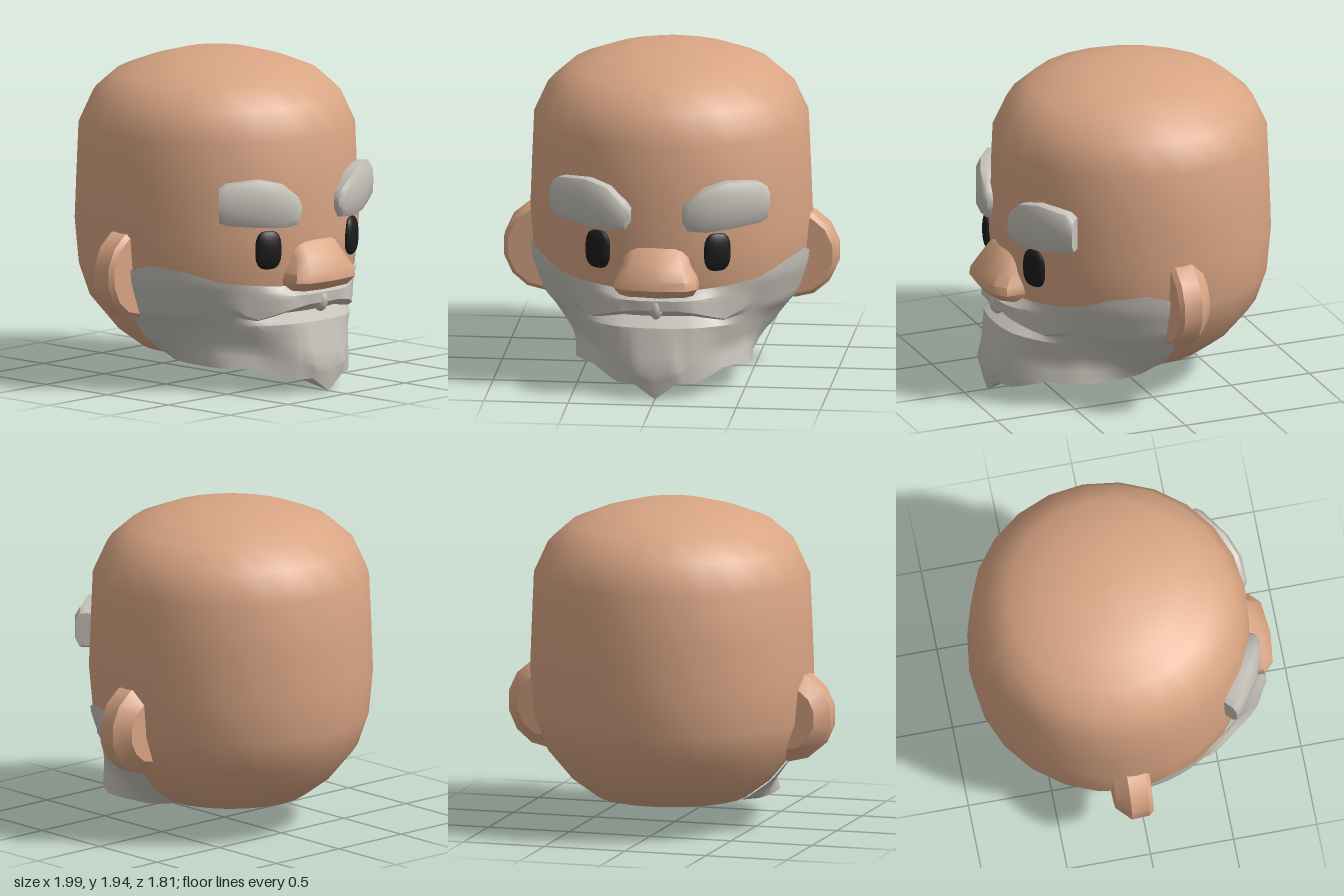
import * as THREE from 'three';
import { toCreasedNormals } from 'three/addons/utils/BufferGeometryUtils.js';

const CENTER_Z = -0.06;
const { lerp, degToRad } = THREE.MathUtils;

// Head outline as [radius, height], bottom to top
const PROFILE = [
  [0, 0.155], [0.3, 0.16], [0.45, 0.18], [0.6, 0.29], [0.75, 0.47], [0.815, 0.66], [0.84, 0.93],
  [0.83, 1.2], [0.817, 1.51], [0.735, 1.69], [0.6, 1.81], [0.42, 1.88], [0.22, 1.933], [0, 1.94],
];

function headRadius(y) {
  const h = Math.max(y, 0.18);
  let i = 2;
  while (PROFILE[i + 1][1] < h) i++;
  const [r0, y0] = PROFILE[i], [r1, y1] = PROFILE[i + 1];
  return lerp(r0, r1, (h - y0) / (y1 - y0));
}

// Point around the head: angle in degrees from the front, towards +x
function around(deg, y, r) {
  const a = degToRad(deg);
  return new THREE.Vector3(r * Math.sin(a), y, CENTER_Z + r * Math.cos(a));
}

function toGeometry(points, index, crease) {
  const g = new THREE.BufferGeometry().setFromPoints(points);
  g.setIndex(index);
  return toCreasedNormals(g, crease);
}

// Closed rings joined in order, with both ends capped
function loft(rings, crease) {
  const n = rings[0].length, last = (rings.length - 1) * n;
  const points = rings.flat(), index = [];
  const middle = (ring) => ring.reduce((s, p) => s.add(p), new THREE.Vector3()).divideScalar(n);
  const start = points.push(middle(rings[0])) - 1;
  const end = points.push(middle(rings[rings.length - 1])) - 1;
  for (let j = 0; j < n; j++) {
    const k = (j + 1) % n;
    for (let i = 0; i < last; i += n) {
      index.push(i + j, i + k, i + n + k, i + j, i + n + k, i + n + j);
    }
    index.push(start, k, j, end, last + j, last + k);
  }
  return toGeometry(points, index, crease);
}

// Beard rows from top edge to underside: heights and offsets from the head at each angle
const BEARD_ANGLES = [0, 8, 15, 29, 45, 60, 75, 90];
const BEARD_ROWS = [
  { y: [0.62, 0.63, 0.64, 0.655, 0.68, 0.745, 0.77, 0.70], d: [0, 0, 0, 0, 0, 0, 0, 0] },
  { y: [0.59, 0.59, 0.59, 0.6, 0.6, 0.63, 0.64, 0.58], d: [0.08, 0.085, 0.075, 0.02, 0, 0, 0, 0] },
  { y: [0.53, 0.53, 0.515, 0.45, 0.53, 0.55, 0.56, 0.5], d: [0.1, 0.1, 0.11, 0.07, 0, 0, 0, 0] },
  { y: [0.475, 0.475, 0.475, 0.44, 0.48, 0.49, 0.48, 0.44], d: [0.02, 0.02, 0.02, 0.06, 0, 0, 0, 0] },
  { y: [0.42, 0.42, 0.42, 0.41, 0.4, 0.4, 0.4, 0.38], d: [0.15, 0.15, 0.15, 0.1, 0.03, 0, 0, 0] },
  { y: [0.155, 0.17, 0.22, 0.25, 0.27, 0.27, 0.28, 0.3], d: [0.47, 0.47, 0.37, 0.21, 0.11, 0.05, 0.02, 0] },
  { y: [0, 0.09, 0.085, 0.15, 0.15, 0.15, 0.155, 0.2], d: [0.45, 0.45, 0.42, 0.33, 0.26, 0.13, 0.05, 0] },
  { y: [0.145, 0.145, 0.145, 0.145, 0.145, 0.145, 0.145, 0.18], d: [-0.3, -0.3, -0.29, -0.28, -0.22, -0.13, -0.05, -0.01] },
];

function beardGeometry() {
  const steps = 3, half = (BEARD_ANGLES.length - 1) * steps, cols = 2 * half + 1;
  const rows = (BEARD_ROWS.length - 1) * steps + 1;
  const points = [], index = [];
  const sample = (list, t) => {
    const i = Math.min(Math.floor(t), list.length - 2);
    return lerp(list[i], list[i + 1], t - i);
  };
  for (let r = 0; r < rows; r++) {
    const i = Math.min(Math.floor(r / steps), BEARD_ROWS.length - 2), f = r / steps - i;
    const upper = BEARD_ROWS[i], lower = BEARD_ROWS[i + 1];
    // Radii are blended between rows, but never sink into the head
    for (let c = -half; c <= half; c++) {
      const t = Math.abs(c) / steps;
      const y0 = sample(upper.y, t), y1 = sample(lower.y, t), y = lerp(y0, y1, f);
      const r0 = headRadius(y0) + sample(upper.d, t), r1 = headRadius(y1) + sample(lower.d, t);
      const skin = y > 0.18 ? headRadius(y) : 0;
      const radius = Math.max(lerp(r0, r1, f), skin) + 0.012;
      points.push(around(Math.sign(c) * sample(BEARD_ANGLES, t), y, radius));
    }
  }
  for (let r = 0; r < rows - 1; r++) {
    for (let c = 0; c < cols - 1; c++) {
      const a = r * cols + c, b = a + cols;
      index.push(a, b, b + 1, a, b + 1, a + 1);
    }
  }
  return toGeometry(points, index, 0.6);
}

// Eyebrow sections: angle, lower height, upper height, outer radius
const BROW = [
  [10.5, 1.06, 1.14, 0.86], [12.5, 1.01, 1.18, 0.885], [19.5, 1.0, 1.265, 0.91],
  [29, 1.01, 1.3, 0.915], [42.5, 1.03, 1.28, 0.925], [45.5, 1.05, 1.25, 0.92],
];

function browGeometry(side) {
  const rings = BROW.map(([deg, low, high, outer]) => {
    const ring = [];
    for (let j = 0; j < 12; j++) {
      const a = (j / 12) * Math.PI * 2;
      const c = Math.cos(a), s = Math.sin(a);
      const k = 1 / Math.pow(c ** 4 + s ** 4, 0.25);
      const y = (low + high) / 2 + ((high - low) / 2) * c * k;
      ring.push(around(side * deg, y, lerp(0.79, outer, (1 + s * k) / 2)));
    }
    return ring;
  });
  return loft(side > 0 ? rings : rings.reverse(), 0.8);
}

// Nose sections: height, half width, front depth
const NOSE = [
  [0.6, 0.18, 0.79], [0.62, 0.22, 0.865], [0.67, 0.25, 0.91], [0.72, 0.24, 0.905],
  [0.8, 0.2, 0.86], [0.88, 0.18, 0.8], [0.91, 0.12, 0.77],
];

function noseGeometry() {
  return loft(NOSE.map(([y, w, z]) => [
    [0, z], [0.75 * w, z - 0.02], [w, z - 0.08], [w, 0.64],
    [-w, 0.64], [-w, z - 0.08], [-0.75 * w, z - 0.02],
  ].map(([x, d]) => new THREE.Vector3(x, y, d))), 0.75);
}

// Rounded-square button for the eyes
function eyeGeometry() {
  const g = new THREE.SphereGeometry(1, 16, 12);
  const p = g.attributes.position;
  for (let i = 0; i < p.count; i++) {
    const x = p.getX(i), y = p.getY(i);
    const k = Math.hypot(x, y) / (Math.cbrt(Math.abs(x) ** 3 + Math.abs(y) ** 3) || 1);
    p.setXY(i, x * k, y * k);
  }
  g.scale(0.083, 0.115, 0.035);
  g.computeVertexNormals();
  return g;
}

function earGeometry() {
  const outline = [[0, -0.19], [0.18, -0.19], [0.26, -0.11], [0.255, 0], [0.23, 0.025], [0, 0.025]];
  const g = new THREE.LatheGeometry(outline.map(([r, y]) => new THREE.Vector2(r, y)), 14);
  g.rotateX(Math.PI / 2);
  g.scale(1, 1.05, 1);
  return toCreasedNormals(g, 0.5);
}

export function createModel() {
  const model = new THREE.Group();
  model.name = 'beardedHead';
  const material = (name, color) => {
    const m = new THREE.MeshStandardMaterial({ color });
    m.name = name;
    return m;
  };
  const skin = material('skin', 0xd9a584);
  const hair = material('greyHair', 0xc5c1b9);
  const black = material('eyeBlack', 0x1c1c1c);
  const add = (name, geometry, mat) => {
    const mesh = new THREE.Mesh(geometry, mat);
    mesh.name = name;
    model.add(mesh);
    return mesh;
  };

  const headPoints = PROFILE.map(([r, y]) => new THREE.Vector2(r, y));
  add('head', new THREE.LatheGeometry(headPoints, 24), skin).position.z = CENTER_Z;
  add('nose', noseGeometry(), skin);
  add('beard', beardGeometry(), hair);

  // Small tuft under the nose
  const tuft = add('moustacheTuft', new THREE.SphereGeometry(1, 10, 8), hair);
  tuft.scale.set(0.043, 0.07, 0.05);
  tuft.position.set(0, 0.54, 0.785);

  // Paired features
  for (const [label, side] of [['left', 1], ['right', -1]]) {
    add(label + 'Ear', earGeometry(), skin).position.set(side * 0.74, 0.695, 0);
    add(label + 'Eyebrow', browGeometry(side), hair);
    const eye = add(label + 'Eye', eyeGeometry(), black);
    eye.position.set(side * 0.355, 0.87, 0.7);
    eye.rotation.y = side * degToRad(25);
  }
  return model;
}
